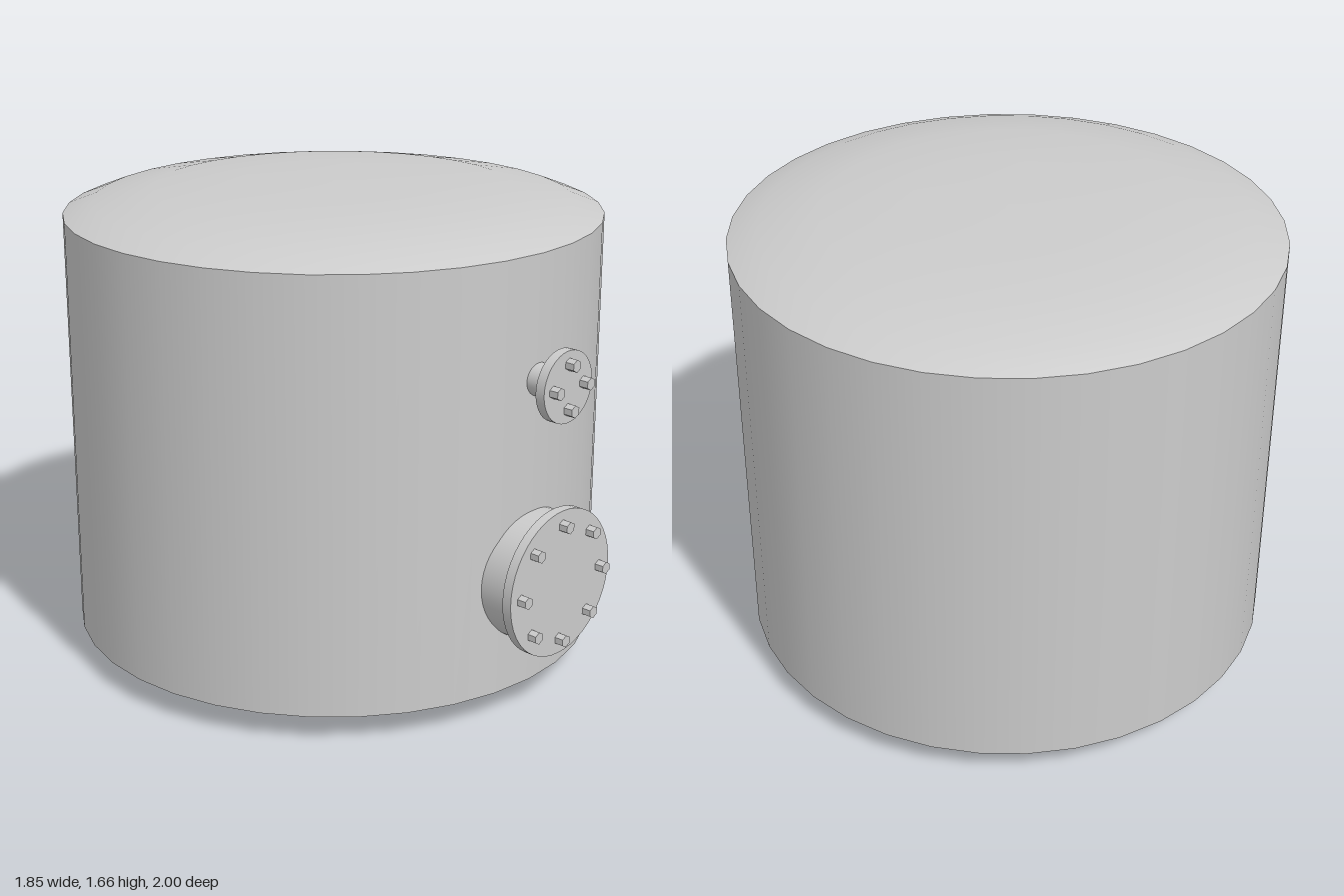
import * as THREE from 'three';

const material = new THREE.MeshStandardMaterial({ color: 0xcccccc });
const RADIUS = 0.925, CENTER_Z = -0.075, HEIGHT = 1.66, RIM = 0.095;

function addMesh(parent, name, geometry) {
  const mesh = new THREE.Mesh(geometry, material);
  mesh.name = name;
  parent.add(mesh);
  return mesh;
}

// Cylinder lying along z between two depths
function disc(radius, z0, z1, sides) {
  return new THREE.CylinderGeometry(radius, radius, z1 - z0, sides)
    .rotateX(Math.PI / 2)
    .translate(0, 0, (z0 + z1) / 2);
}

// Flanged pipe stub with a blind cover and a ring of hexagonal bolts
function flangedPort(name, y, neckRadius, flangeRadius, boltCircle, boltCount) {
  const port = new THREE.Group();
  port.name = name;
  port.position.y = y;
  addMesh(port, name + 'Neck', disc(neckRadius, 0.76, 0.936, 48));
  addMesh(port, name + 'Flange', disc(flangeRadius, 0.934, 0.968, 48));
  for (let i = 0; i < boltCount; i++) {
    const a = (i / boltCount) * Math.PI * 2;
    const bolt = addMesh(port, name + 'Bolt', disc(0.021, 0.966, 1, 6));
    bolt.position.set(Math.cos(a) * boltCircle, Math.sin(a) * boltCircle, 0);
    bolt.geometry = bolt.geometry.toNonIndexed();
    bolt.geometry.computeVertexNormals();
  }
  return port;
}

export function createModel() {
  const model = new THREE.Group();
  model.name = 'storageTank';

  // Shell and shallow dished heads
  const tank = new THREE.Group();
  tank.name = 'vessel';
  tank.position.z = CENTER_Z;
  model.add(tank);

  const shell = new THREE.CylinderGeometry(RADIUS, RADIUS, HEIGHT - 2 * RIM, 36, 1, true);
  addMesh(tank, 'shell', shell.translate(0, HEIGHT / 2, 0));

  const headProfile = [[0, 0], [0.33, 0.003], [0.62, 0.017], [0.825, 0.056], [RADIUS, RIM]];
  const bottom = headProfile.map(([r, y]) => new THREE.Vector2(r, y));
  const top = headProfile.map(([r, y]) => new THREE.Vector2(r, HEIGHT - y)).reverse();
  addMesh(tank, 'bottomHead', new THREE.LatheGeometry(bottom, 36));
  addMesh(tank, 'topHead', new THREE.LatheGeometry(top, 36));

  // Front access ports
  model.add(flangedPort('manway', 0.484, 0.222, 0.252, 0.2, 8));
  model.add(flangedPort('nozzle', 1.153, 0.055, 0.12, 0.075, 4));
  return model;
}
